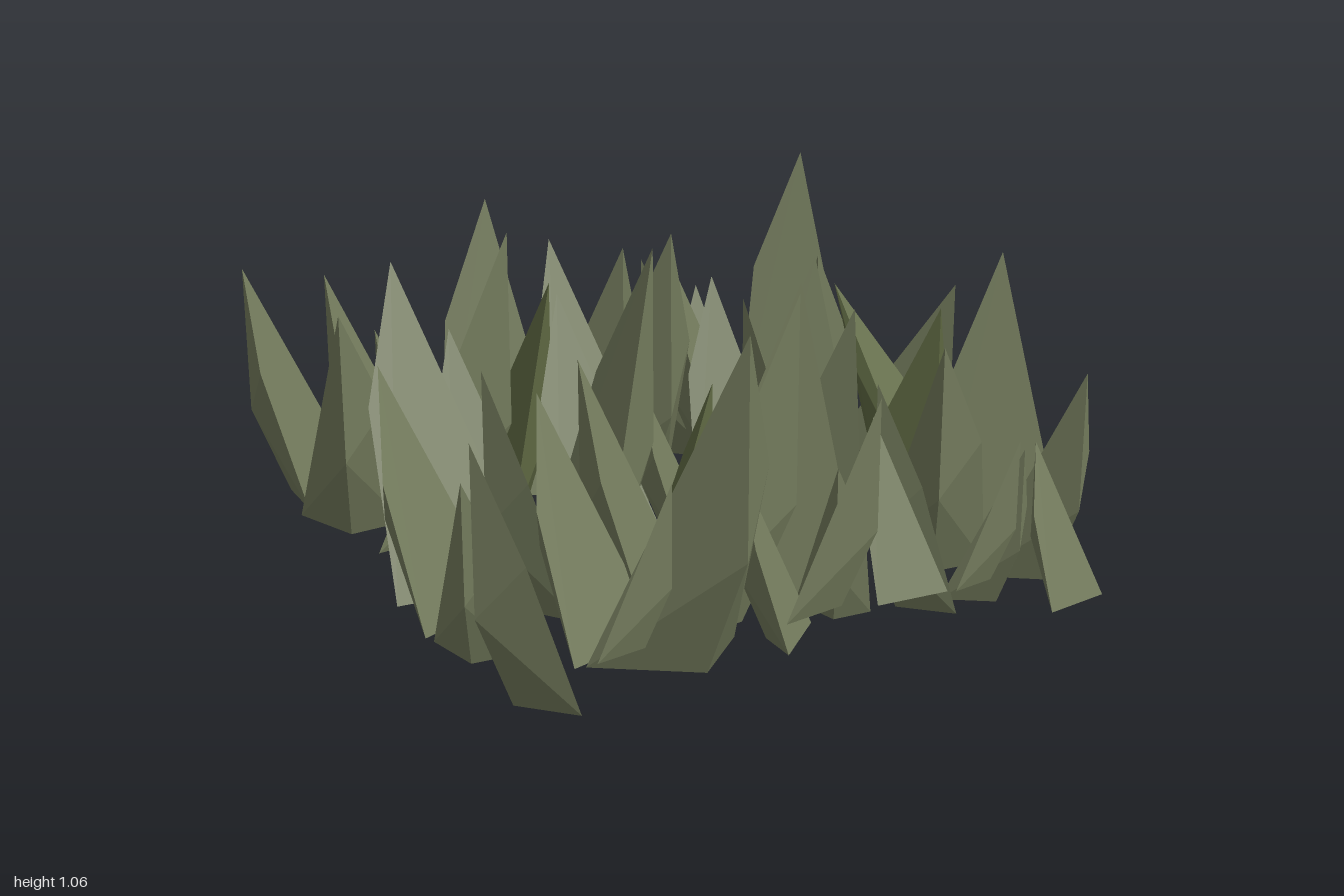
import * as THREE from 'three';
import { ConvexGeometry } from 'three/addons/geometries/ConvexGeometry.js';

const GROUND = 0.15;

// Plan positions of each blade: heel x, heel z, tip x, tip z, optional lift
const backBlades = [
  [-0.67, -0.98, -1, -0.98], [-0.38, -0.96, -0.6, -0.96], [-0.47, -0.8, -0.8, -0.8],
  [-0.14, -0.49, -0.25, -0.88], [-0.07, -0.98, 0.16, -0.75], [0.22, -0.68, -0.03, -0.9],
  [0.42, -0.92, 0.2, -0.7], [0.63, -0.75, 0.52, -0.95], [0.92, -0.54, 0.92, -0.96],
  [-0.94, -0.7, -0.89, -0.38], [-0.83, -0.3, -0.41, -0.3], [-0.06, -0.47, 0.2, -0.47],
  [0.57, -0.6, 0.25, -0.6], [0.62, -0.72, 0.67, -0.4], [-0.25, -0.45, 0.04, -0.16],
];
const middleBlades = [
  [-0.38, -0.1, -0.59, -0.31], [-0.01, -0.14, -0.23, -0.37], [0.45, -0.12, 0.29, -0.39],
  [0.63, -0.02, 0.63, -0.35], [-0.5, 0.09, -0.79, -0.2],
  [-0.41, 0.32, -0.11, 0.03], [0.12, -0.08, -0.1, -0.08], [-0.63, 0.18, -0.93, 0.08],
  [-0.46, 0.09, -0.72, 0.28], [0.49, -0.1, 0.18, 0.02], [0.3, 0.52, 0.43, 0.22],
  [0.22, 0.66, 0.22, 0.28], [0.92, 0.61, 0.92, 0.23],
];
const frontBlades = [
  [-0.9, 0.35, -0.9, 0.59], [-0.35, 0.56, -0.63, 0.43], [-0.15, 0.35, -0.48, 0.35],
  [-0.42, 0.66, 0, 0.66], [0.47, 0.3, 0.47, 0.62], [-0.73, 0.59, -0.96, 0.82],
  [-0.61, 0.67, -0.31, 0.97], [0.04, 0.68, -0.18, 0.68], [0.07, 0.54, 0.07, 0.75],
  [0.41, 0.5, 0.2, 0.72], [0.6, 0.6, 0.8, 0.81], [0.43, 0.7, 0.58, 0.85],
  [-0.68, 0.9, -0.48, 0.9, 0.12], [-0.16, 0.9, 0.1, 0.9, 0.12], [0.32, 0.9, 0.17, 0.75, 0.12],
  [0.34, 0.91, 0.52, 0.91, 0.12], [0.85, 0.87, 0.68, 0.76],
];
const oliveBlades = [
  [-0.43, -0.28, -0.2, -0.5], [-0.24, 0.3, -0.01, 0.2],
  [-0.11, 0.25, 0.21, 0.25], [0.43, 0.08, 0.66, 0.31],
];

const hull = points => new ConvexGeometry(points.map(p => new THREE.Vector3(...p)));

// A leaning blade: flat sloping face, upright edge below the tip, tapered to a small foot
function bladeGeometry([ax, az, tx, tz, lift = 0]) {
  const heel = new THREE.Vector2(ax, az);
  const tip = new THREE.Vector2(tx, tz);
  const long = tip.clone().sub(heel);
  const height = 2.15 * long.length();
  const turn = (angle, scale) => long.clone().rotateAround(new THREE.Vector2(), -angle)
    .multiplyScalar(scale).add(heel);
  const side = turn(Math.PI / 4, 1);
  const corner = turn(Math.PI / 8, 1 / Math.cos(Math.PI / 8));
  const foot = heel.clone().lerp(side, 0.5).lerp(tip, 0.55);
  return hull([
    [heel, 0], [side, 0], [foot, 0], [tip, 0.37], [corner, 0.585], [tip, 1],
  ].map(([p, t]) => [p.x, GROUND + lift + t * height, p.y]));
}

export function createModel() {
  const model = new THREE.Group();
  model.name = 'grassPatch';
  const green = new THREE.MeshStandardMaterial({ color: 0x747c5d, flatShading: true });
  const olive = new THREE.MeshStandardMaterial({ color: 0x5f6943, flatShading: true });

  const addMesh = (parent, name, geometry, material) => {
    const mesh = new THREE.Mesh(geometry, material);
    mesh.name = name;
    parent.add(mesh);
    return mesh;
  };
  const addRow = (name, rows, material) => {
    const group = new THREE.Group();
    group.name = name;
    for (const row of rows) addMesh(group, 'grassBlade', bladeGeometry(row), material);
    model.add(group);
  };
  addRow('backBlades', backBlades, green);
  addRow('middleBlades', middleBlades, green);
  addRow('frontBlades', frontBlades, green);
  addRow('oliveBlades', oliveBlades, olive);

  // squat blade on the left edge
  addMesh(model, 'squatBlade', hull([
    [0.63, GROUND, -0.36], [0.94, GROUND, -0.36], [0.86, GROUND, -0.22],
    [0.95, 0.39, -0.05], [0.98, 0.5, -0.18], [0.95, 0.8, -0.05],
  ]), green);

  // tilted blade hanging below the others
  addMesh(model, 'tiltedBlade', hull([
    [0.63, 0.8, -0.23], [0.64, 0.55, -0.1], [0.68, 0.56, -0.08],
    [0.99, 0.18, 0.1], [0.72, 0.17, 0.2], [0.7, 0, 0.04],
  ]), olive);

  // thin flattened blade lying at the foot of the patch
  const flat = addMesh(model, 'flattenedBlade', new THREE.ConeGeometry(0.07, 0.3, 3), green);
  flat.rotation.x = Math.PI / 2;
  flat.scale.z = 0.1;
  flat.position.set(-0.23, 0.14, 0.02);

  return model;
}
